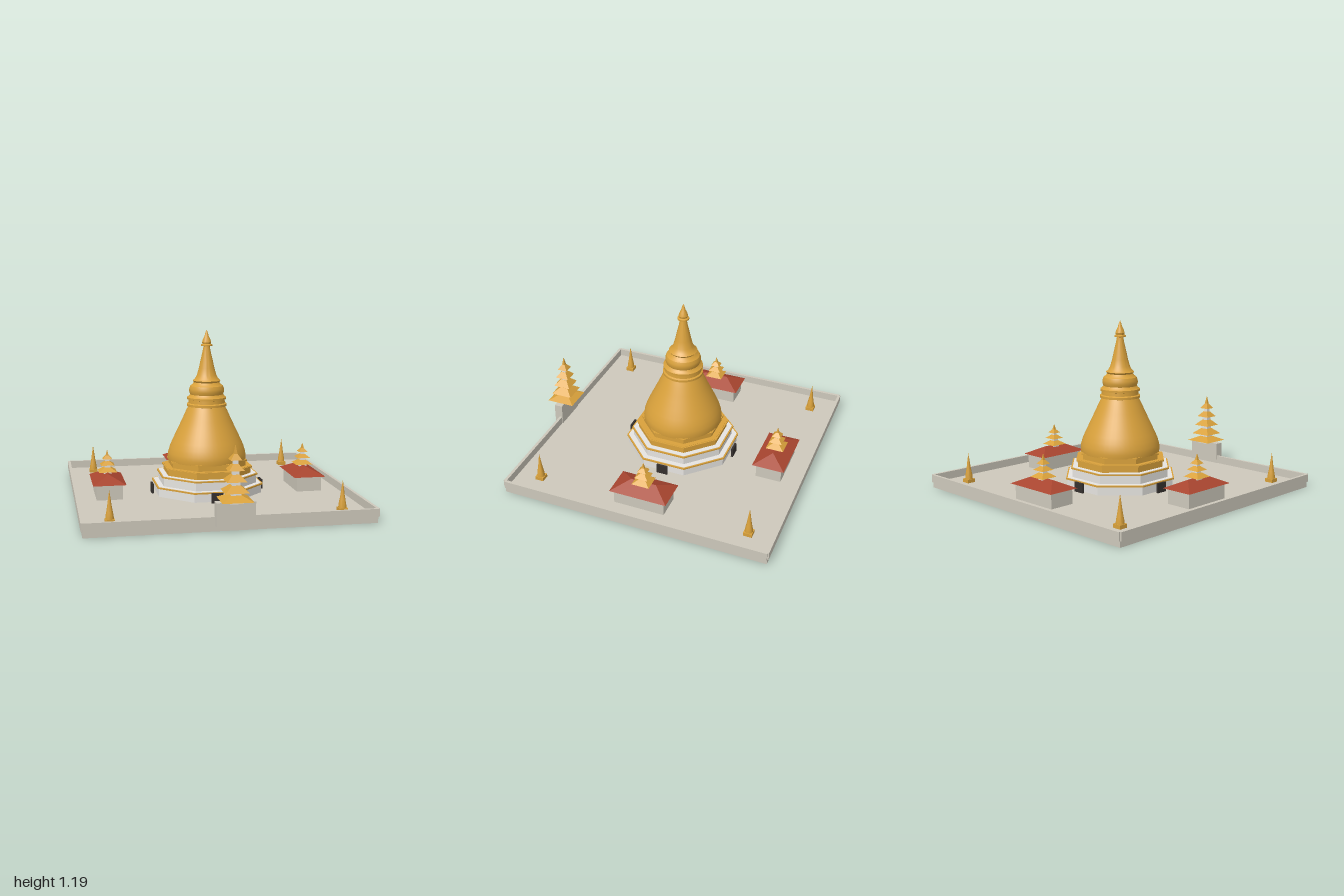
import * as THREE from 'three';
import { toCreasedNormals } from 'three/addons/utils/BufferGeometryUtils.js';

const CZ = -0.05; // centre of the courtyard along z

const paint = (name, color) => {
  const m = new THREE.MeshStandardMaterial({ color });
  m.name = name;
  return m;
};

// Prism or frustum with flat sides; sizes are centre-to-flat distances
function prism(sides, bottom, top, y0, y1) {
  const k = 1 / Math.cos(Math.PI / sides);
  const g = new THREE.CylinderGeometry(top * k, bottom * k, y1 - y0, sides);
  g.rotateY(Math.PI / sides).translate(0, (y0 + y1) / 2, 0);
  const flat = g.toNonIndexed();
  flat.computeVertexNormals();
  return flat;
}

function box(w, y0, y1, d) {
  return new THREE.BoxGeometry(w, y1 - y0, d).translate(0, (y0 + y1) / 2, 0);
}

function lathe(points, segments) {
  const g = new THREE.LatheGeometry(points.map(([r, y]) => new THREE.Vector2(r, y)), segments);
  return toCreasedNormals(g, 0.5);
}

// Box whose top is drawn in to a ridge
function hipRoof(halfW, halfD, ridge, y0, y1) {
  const g = box(halfW * 2, y0, y1, halfD * 2);
  const p = g.attributes.position;
  for (let i = 0; i < p.count; i++) {
    if (p.getY(i) > (y0 + y1) / 2) {
      p.setX(i, Math.sign(p.getX(i)) * ridge);
      p.setZ(i, Math.sign(p.getZ(i)) * 0.002);
    }
  }
  g.computeVertexNormals();
  return g;
}

export function createModel() {
  const gold = paint('gold', 0xd9a13b);
  const stone = paint('stone', 0xcdc8bb);
  const white = paint('whitewash', 0xe6e4e0);
  const red = paint('red roof tile', 0xa8452f);
  const dark = paint('dark door', 0x35302e);
  const model = new THREE.Group();
  model.name = 'templeCompound';

  const add = (parent, name, geometry, material, x = 0, y = 0, z = 0) => {
    const mesh = new THREE.Mesh(geometry, material);
    mesh.name = name;
    mesh.position.set(x, y, z);
    parent.add(mesh);
    return mesh;
  };
  const group = (name, x, z) => {
    const g = new THREE.Group();
    g.name = name;
    g.position.set(x, 0, z);
    model.add(g);
    return g;
  };

  // Platform and enclosing walls
  const court = group('courtyard', 0, CZ);
  add(court, 'platform', box(1.88, 0, 0.04, 1.88), stone);
  for (const s of [-1, 1]) {
    add(court, 'sideWall', box(0.02, 0.04, 0.095, 1.88), stone, s * 0.94);
    add(court, 'endWall', box(1.88, 0.04, 0.095, 0.02), stone, 0, 0, s * 0.94);
  }

  // Stupa: octagonal terraces, each with a gold trim just below its top
  const stupa = group('stupa', 0, CZ);
  const terraces = [
    [0.365, 0.04, 0.11, white],
    [0.33, 0.11, 0.18, white],
    [0.295, 0.18, 0.23, gold],
    [0.26, 0.23, 0.275, gold],
  ];
  for (const [r, y0, y1, material] of terraces) {
    add(stupa, 'terrace', prism(8, r, r, y0, y1), material);
    add(stupa, 'terraceTrim', prism(8, r + 0.01, r + 0.01, y1 - 0.012, y1 - 0.002), gold);
  }

  // Bell, moulded rings, spire and bud
  add(stupa, 'bellAndSpire', lathe([
    [0, 0.268], [0.276, 0.268], [0.279, 0.295], [0.275, 0.325], [0.263, 0.365], [0.246, 0.405],
    [0.222, 0.455], [0.196, 0.51], [0.172, 0.56], [0.15, 0.61], [0.13, 0.65],
    [0.141, 0.652], [0.141, 0.668], [0.13, 0.674], [0.128, 0.698],
    [0.138, 0.7], [0.138, 0.714], [0.126, 0.722], [0.117, 0.735], [0.124, 0.755],
    [0.123, 0.775], [0.115, 0.795], [0.101, 0.805], [0.09, 0.82], [0.098, 0.832],
    [0.083, 0.845], [0.069, 0.87], [0.055, 0.92], [0.042, 0.98], [0.03, 1.03], [0.022, 1.073],
    [0.04, 1.075], [0.04, 1.085], [0.029, 1.09], [0.032, 1.102], [0.025, 1.125],
    [0.015, 1.145], [0.008, 1.17], [0, 1.19],
  ], 48), gold);

  // Doors on four sides
  for (let i = 0; i < 4; i++) {
    const a = i * Math.PI / 2;
    const door = add(stupa, 'door', box(0.08, 0.04, 0.107, 0.015), dark,
      Math.sin(a) * 0.395, 0, Math.cos(a) * 0.395);
    door.rotation.y = a;
  }

  // Tiered tower: [half width, eave height] per roof, ending in a point
  function tower(parent, base, tiers, tip) {
    tiers.forEach(([half, y], i) => {
      const next = tiers[i + 1];
      const from = i ? tiers[i - 1][1] : base;
      add(parent, 'towerStorey', prism(4, half * 0.42, half * 0.42, from, y + 0.004), white);
      if (next) {
        const top = y + (next[1] - y) * 0.6;
        add(parent, 'towerRoof', prism(4, half, next[0] * 0.46, y, top), gold);
      } else {
        add(parent, 'towerRoof', prism(4, half, half * 0.3, y, y + (tip - y) * 0.4), gold);
        add(parent, 'towerFinial', prism(4, half * 0.3, 0.001, y + (tip - y) * 0.4, tip), gold);
      }
    });
  }

  // Front gate
  const gate = group('gate', 0, 0.9);
  add(gate, 'gateBlock', box(0.25, 0.04, 0.19, 0.06), stone, 0, 0, 0.005);
  tower(gate, 0.18, [[0.1, 0.2], [0.077, 0.253], [0.063, 0.32], [0.05, 0.388], [0.036, 0.452]], 0.543);

  // Three hip-roofed pavilions
  for (const [name, x, z, turn] of [
    ['leftPavilion', 0.71, CZ, Math.PI / 2],
    ['rightPavilion', -0.71, CZ, Math.PI / 2],
    ['backPavilion', 0, CZ - 0.71, 0],
  ]) {
    const hall = group(name, x, z);
    hall.rotation.y = turn;
    add(hall, 'hall', box(0.36, 0.04, 0.147, 0.18), stone);
    add(hall, 'hallRoof', hipRoof(0.204, 0.114, 0.09, 0.145, 0.2), red);
    tower(hall, 0.18, [[0.062, 0.207], [0.047, 0.253], [0.032, 0.295]], 0.357);
  }

  // Small corner spires
  for (const sx of [-1, 1]) for (const sz of [-1, 1]) {
    const spire = group('cornerSpire', sx * 0.76, CZ + sz * 0.76);
    add(spire, 'spirePlinth', box(0.06, 0.04, 0.065, 0.06), gold);
    add(spire, 'spireCone', lathe([
      [0.027, 0.065], [0.025, 0.09], [0.02, 0.115], [0.014, 0.15], [0.008, 0.195], [0, 0.25],
    ], 16), gold);
  }
  return model;
}
